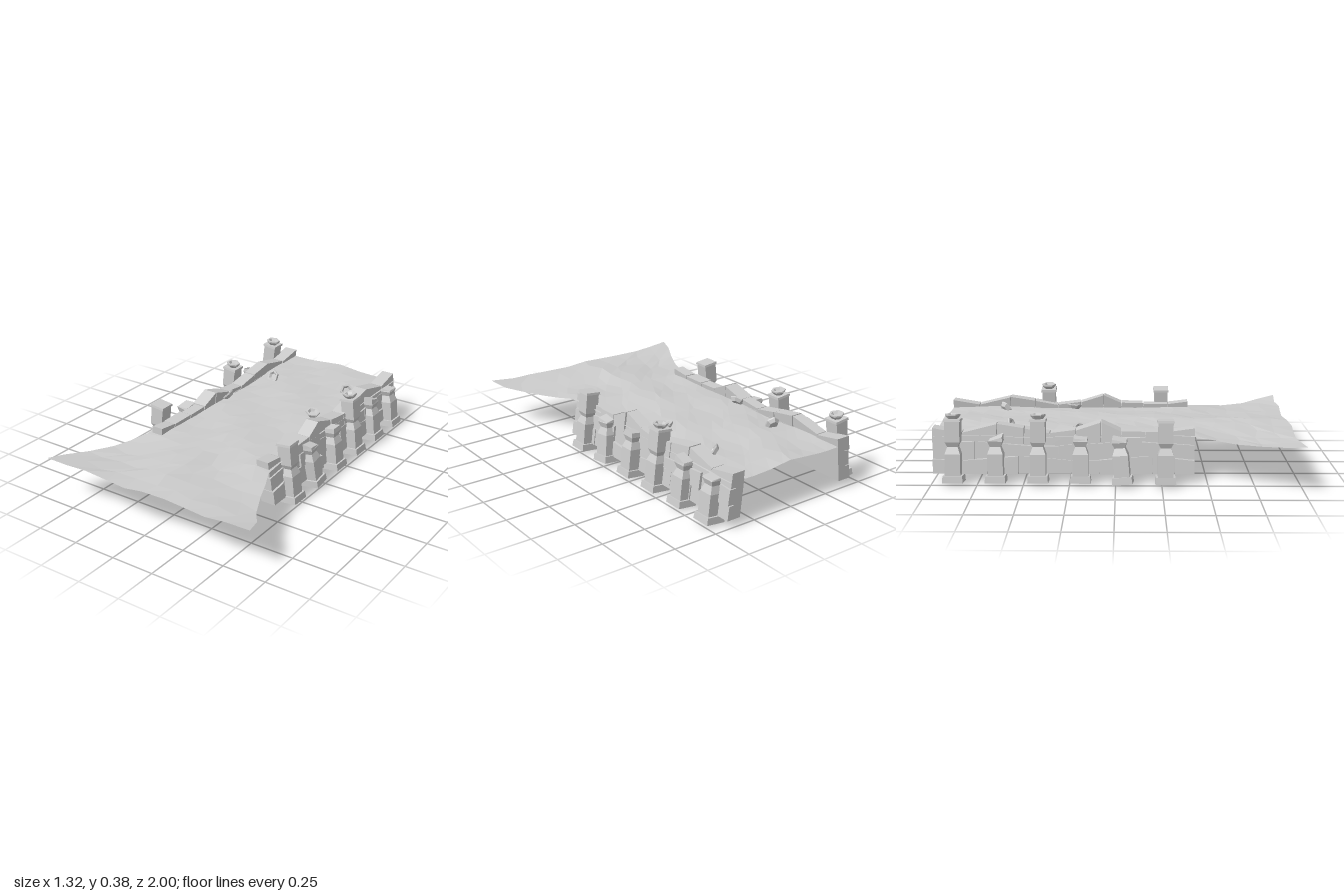
import * as THREE from 'three';

const stone = new THREE.MeshStandardMaterial({ color: 0xcccccc, flatShading: true });
const sheet = new THREE.MeshStandardMaterial({ color: 0xcccccc, flatShading: true, side: THREE.DoubleSide });

let seed = 7;
const rand = () => (seed = (seed * 16807) % 2147483647) / 2147483647;
const jitter = (a) => (rand() * 2 - 1) * a;
const { lerp } = THREE.MathUtils;

// Piecewise linear lookup through [position, value] pairs in rising order
function sample(points, p) {
  if (p <= points[0][0]) return points[0][1];
  for (let i = 1; i < points.length; i++) {
    const [a, va] = points[i - 1], [b, vb] = points[i];
    if (p <= b) return lerp(va, vb, (p - a) / (b - a));
  }
  return points[points.length - 1][1];
}

function add(parent, name, geometry, material = stone) {
  const mesh = new THREE.Mesh(geometry, material);
  mesh.name = name;
  parent.add(mesh);
  return mesh;
}

// Move every vertex of a geometry by a rule
function warp(geometry, rule) {
  const p = geometry.attributes.position, v = new THREE.Vector3();
  for (let i = 0; i < p.count; i++) {
    rule(v.fromBufferAttribute(p, i));
    p.setXYZ(i, v.x, v.y, v.z);
  }
  geometry.computeVertexNormals();
  return geometry;
}

// Road: narrow between the walls, flaring out at the front
const roadHalf = [[-1, 0.41], [0.42, 0.405], [0.68, 0.5], [0.9, 0.635], [1, 0.66]];
function makeRoad() {
  const geometry = new THREE.PlaneGeometry(2, 2, 10, 18).rotateX(-Math.PI / 2);
  return warp(geometry, (v) => {
    const u = v.x, z = v.z, edge = Math.abs(u);
    const inner = edge < 0.99;
    const flare = Math.max(0, (z - 0.4) / 0.6);
    const bump = 0.004 * Math.sin(u * 7 + z * 5) + 0.004 * Math.sin(z * 11 - u * 4);
    v.y = 0.255 + bump - 0.012 * edge * (1 - flare)
      - 0.022 * Math.sin(flare * Math.PI) * edge - 0.02 * flare * Math.sin(edge * Math.PI);
    v.x = u * sample(roadHalf, z) + (inner ? 0.018 * Math.sin(z * 23 + u * 9) : 0);
    if (Math.abs(z) < 0.99) v.z += 0.015 * Math.sin(u * 13 + z * 17);
    else if (z > 0) v.z -= 0.012 * (1 + Math.sin(u * 8)) * (inner ? 1 : 0);
  });
}

// Leaning wall section and its ruined top edge
const innerX = (y) => 0.355 - 0.11 * (y - 0.04);
const outerX = (y) => 0.43 - 0.14 * (y - 0.04);
const wallTop = [[-1, 0.293], [-0.84, 0.265], [-0.65, 0.312], [-0.5, 0.288], [-0.36, 0.262],
  [-0.22, 0.28], [-0.08, 0.325], [0.03, 0.275], [0.16, 0.272], [0.28, 0.268], [0.43, 0.288]];
const courses = [
  () => 0.04,
  (z) => 0.125 + 0.012 * Math.sin(z * 9),
  (z) => 0.205 + 0.012 * Math.sin(z * 7 + 1),
  (z) => sample(wallTop, z),
];
const joints = [
  [-1, -0.87, -0.7, -0.53, -0.4, -0.24, -0.09, 0.08, 0.2, 0.32, 0.43],
  [-1, -0.92, -0.77, -0.6, -0.46, -0.31, -0.16, 0.01, 0.14, 0.26, 0.43],
  [-1, -0.84, -0.65, -0.5, -0.36, -0.22, -0.08, 0.03, 0.16, 0.31, 0.43],
];

function wallPiece(s, z0, z1, low, high, inset, outset) {
  return warp(new THREE.BoxGeometry(1, 1, 1), (v) => {
    const z = lerp(z0, z1, v.z + 0.5);
    const y = lerp(low(z), high(z), v.y + 0.5);
    v.set(s * lerp(innerX(y) - inset, outerX(y) + outset, s * v.x + 0.5), y, z);
  });
}

function makeWall(s) {
  const wall = new THREE.Group();
  wall.name = s > 0 ? 'leftWall' : 'rightWall';
  joints.forEach((line, row) => {
    for (let i = 0; i + 1 < line.length; i++) {
      const gapA = i ? 0.002 : 0, gapB = i + 2 < line.length ? 0.002 : 0;
      const tuck = jitter(0.002), coping = row === 2;
      const low = (z) => courses[row](z) + (row ? 0.002 : 0);
      const high = (z) => courses[row + 1](z) + tuck - 0.002;
      add(wall, coping ? 'copingStone' : 'wallStone',
        wallPiece(s, line[i] + gapA, line[i + 1] - gapB, low, high,
          (coping ? 0.006 : 0) + jitter(0.006), jitter(0.009)));
    }
  });
  // Plain facing on the rear part of the inner side, and a core that fills the joints
  add(wall, 'innerFacing', wallPiece(s, -1, -0.04, () => 0.04, () => 0.245, 0.009, -0.03));
  add(wall, 'wallCore', wallPiece(s, -0.99, 0.42, () => 0.045, () => 0.25, -0.01, -0.014));
  return wall;
}

// Square tapered block standing on y0
function block(w0, w1, y0, y1, slantX = 0, slantZ = 0) {
  return warp(new THREE.BoxGeometry(1, 1, 1), (v) => {
    const top = v.y > 0, w = top ? w1 : w0;
    v.set(v.x * w, top ? y1 + v.x * slantX + v.z * slantZ : y0, v.z * w);
  });
}

// Six-sided hollow bowl
function bowl() {
  const profile = [[0, 0], [0.028, 0], [0.042, 0.018], [0.042, 0.026], [0.03, 0.026], [0.02, 0.012], [0, 0.012]];
  return new THREE.LatheGeometry(profile.map(([r, y]) => new THREE.Vector2(r, y)), 6);
}

function makePost({ x, z, kind, tilt = 0 }) {
  const post = new THREE.Group();
  post.name = kind === 'broken' ? 'brokenPost' : 'post';
  add(post, 'base', block(0.112, 0.106, 0, 0.038));
  add(post, 'lowerShaft', block(0.084, 0.084, 0.038, 0.155));
  add(post, 'neckTaper', block(0.084, 0.056, 0.155, 0.195));
  if (kind === 'broken') {
    add(post, 'brokenShaft', block(0.056, 0.08, 0.195, 0.225));
    add(post, 'brokenTop', block(0.08, 0.074, 0.225, 0.25 + jitter(0.012), jitter(0.03), jitter(0.05)));
  } else {
    add(post, 'shoulder', block(0.056, 0.08, 0.195, 0.22));
    add(post, 'upperShaft', block(0.08, 0.08, 0.22, 0.332));
    add(post, 'cap', block(0.092, 0.088, 0.332, 0.345));
    if (kind === 'bowl') add(post, 'bowl', bowl()).position.y = 0.345;
  }
  post.position.set(x, 0.006, z);
  post.rotation.set(tilt, tilt * 0.8, Math.sign(x) * 0.11);
  return post;
}

export function createModel() {
  const model = new THREE.Group();
  model.name = 'ruinedBridge';
  add(model, 'road', makeRoad(), sheet);
  for (const s of [1, -1]) model.add(makeWall(s));

  // Posts along the outside of both walls, front to back
  const stations = [0.27, 0.04, -0.19, -0.42, -0.65, -0.88];
  const kinds = {
    1: ['plain', 'broken', 'broken', 'bowl', 'broken', 'broken'],
    '-1': ['plain', 'broken', 'broken', 'bowl', 'broken', 'bowl'],
  };
  for (const s of [1, -1]) {
    stations.forEach((z, i) => {
      const x = s > 0 ? 0.447 : i < 2 ? -0.488 : -0.465;
      model.add(makePost({ x, z, kind: kinds[s][i], tilt: i === 1 ? 0.09 * s : 0 }));
    });
  }

  // Fallen bowls half sunk in the road
  const fallen = [
    [-0.23, 0.26, -0.6, 1.1, 0.2], [0.24, 0.25, -0.68, 0.9, -0.6],
    [0.25, 0.255, -0.26, 0.15, -0.2], [-0.3, 0.255, -0.2, 0.3, 0.7],
  ];
  for (const [x, y, z, rx, rz] of fallen) {
    const piece = add(model, 'fallenBowl', bowl());
    piece.position.set(x, y, z);
    piece.rotation.set(rx, 0, rz);
  }
  return model;
}
